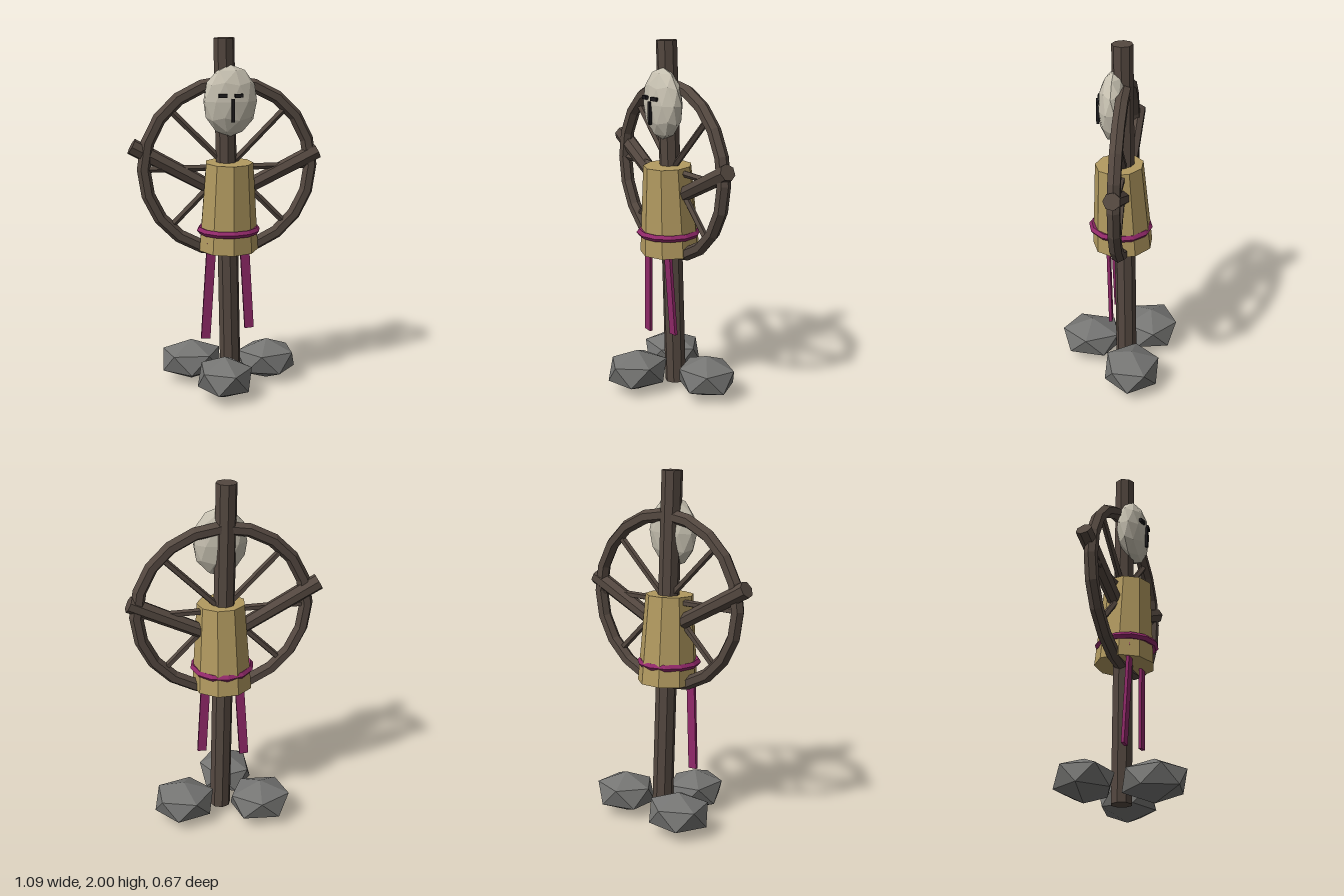
import * as THREE from 'three';

const paint = (color) => new THREE.MeshStandardMaterial({ color, flatShading: true });

// Icosahedron standing on one of its points, scaled to an ellipsoid
function poleIco(detail, rx, ry, rz, turn = 0) {
  const g = new THREE.IcosahedronGeometry(1, detail);
  g.rotateX(-Math.atan((1 + Math.sqrt(5)) / 2));
  return g.rotateY(turn).scale(rx, ry, rz);
}

export function createModel() {
  const model = new THREE.Group();
  const wood = paint(0x544840);
  const straw = paint(0xb29a60);
  const cloth = paint(0x8f2868);
  const bone = paint(0xc6c0b0);
  const stone = paint(0x757573);
  const dark = paint(0x1c1a1c);

  function add(name, geometry, material, x = 0, y = 0, z = 0, parent = model) {
    const mesh = new THREE.Mesh(geometry, material);
    mesh.name = name;
    mesh.position.set(x, y, z);
    parent.add(mesh);
    return mesh;
  }

  // Places a mesh with its y axis running from a to b
  function between(name, a, b, makeGeometry, material, parent = model) {
    const from = new THREE.Vector3(...a);
    const to = new THREE.Vector3(...b);
    const mesh = add(name, makeGeometry(from.distanceTo(to)), material, 0, 0, 0, parent);
    mesh.position.copy(from).lerp(to, 0.5);
    mesh.quaternion.setFromUnitVectors(new THREE.Vector3(0, 1, 0), to.sub(from).normalize());
    return mesh;
  }
  const pole = (rTop, rBottom, sides) => (length) =>
    new THREE.CylinderGeometry(rTop, rBottom, length, sides);

  // Leaning post
  between('post', [0.03, 0.04, -0.055], [-0.015, 2, -0.02], pole(0.058, 0.06, 8), wood);

  // Wheel with eight spokes
  const wheel = new THREE.Group();
  wheel.name = 'wheel';
  wheel.position.set(0.012, 1.287, -0.037);
  model.add(wheel);
  add('rim', new THREE.TorusGeometry(0.473, 0.038, 6, 20), wood, 0, 0, 0, wheel);
  for (let i = 0; i < 4; i++) {
    const a = (i * Math.PI) / 4;
    const x = 0.47 * Math.cos(a);
    const y = 0.47 * Math.sin(a);
    between('spoke', [-x, -y, 0], [x, y, 0], pole(0.019, 0.019, 5), wood, wheel);
  }

  // Raised branch arms
  between('rightArm', [0, 1.125, -0.04], [-0.525, 1.415, -0.053], pole(0.047, 0.04, 7), wood);
  between('leftArm', [0, 1.11, -0.04], [0.522, 1.365, -0.032], pole(0.047, 0.04, 7), wood);

  // Straw body with belt
  between('body', [0.01, 0.822, -0.03], [0.012, 1.318, -0.009], pole(0.135, 0.17, 9), straw);
  const belt = add('belt', new THREE.TorusGeometry(0.159, 0.021, 5, 12).rotateX(Math.PI / 2), cloth, 0.01, 0.936, -0.017);
  belt.scale.y = 0.95;

  // Hanging cloth strips
  const strip = (length) => new THREE.BoxGeometry(0.052, length, 0.018);
  between('rightStrip', [-0.13, 0.315, 0.025], [-0.096, 0.9, 0.045], strip, cloth);
  between('leftStrip', [0.122, 0.365, 0.025], [0.086, 0.9, 0.045], strip, cloth);

  // Mask-like head with face
  add('head', poleIco(1, 0.152, 0.196, 0.083, 0.3), bone, 0.012, 1.662, 0.022);
  add('rightEye', new THREE.BoxGeometry(0.047, 0.02, 0.02), dark, -0.042, 1.696, 0.1).rotation.y = -0.15;
  add('leftEye', new THREE.BoxGeometry(0.047, 0.02, 0.02), dark, 0.045, 1.696, 0.1).rotation.y = 0.15;
  add('nose', new THREE.BoxGeometry(0.016, 0.125, 0.016), dark, 0.011, 1.617, 0.107);

  // Stones round the foot: x, z, half width, half depth, turn
  for (const [x, z, rx, rz, turn] of [
    [-0.045, 0.16, 0.17, 0.195, 0.2],
    [-0.18, -0.18, 0.195, 0.175, 0.5],
    [0.255, -0.11, 0.19, 0.175, 0.9],
  ]) add('stone', poleIco(0, rx, 0.12, rz, turn), stone, x, 0.125, z);

  return model;
}
